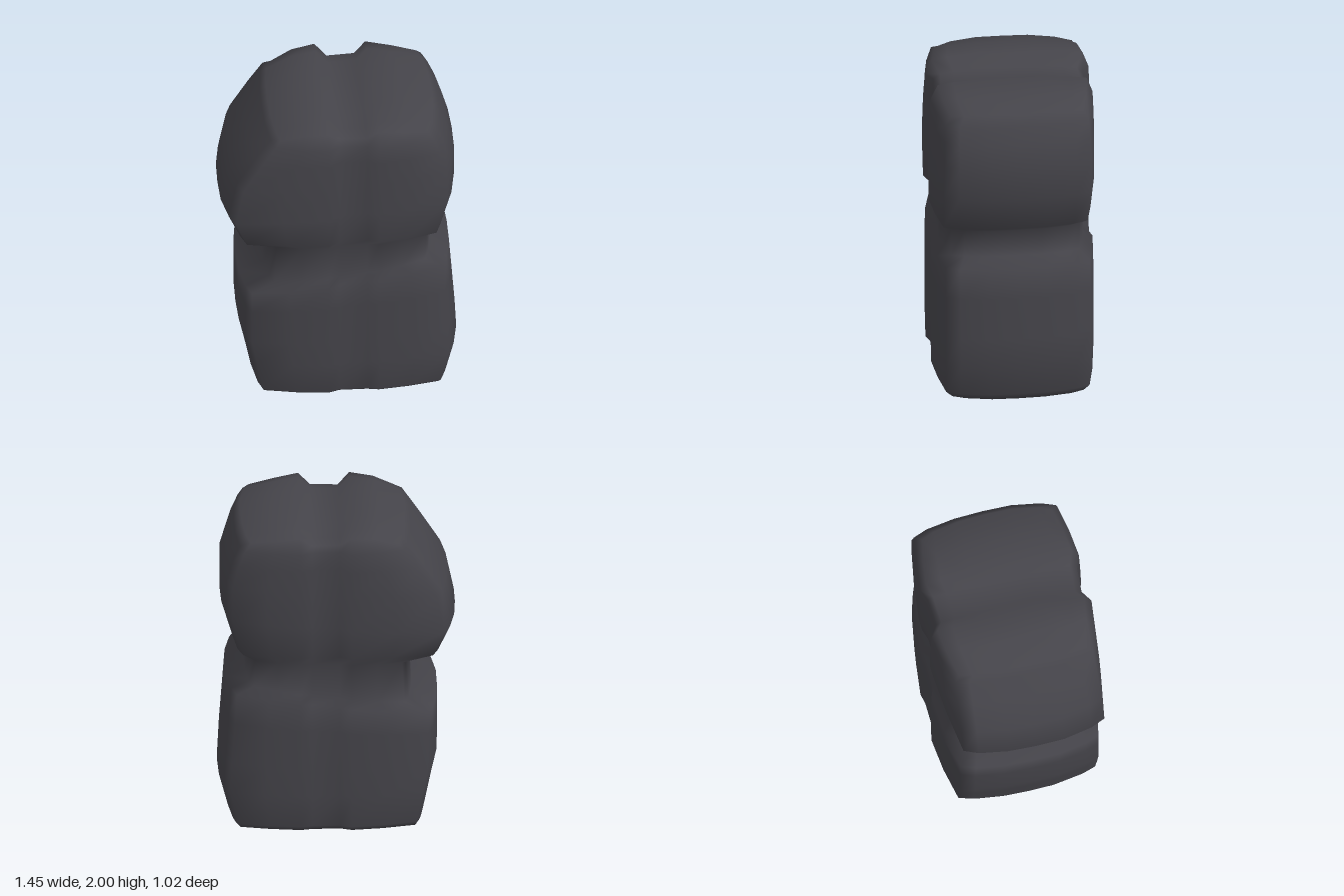
import * as THREE from 'three';
import { mergeVertices } from 'three/addons/utils/BufferGeometryUtils.js';

// Levels from bottom to top:
// [height at -x, height at +x, left edge, right edge, front z, back z, groove depth]
const ROWS = [
  [0.00, 0.00, -0.53, 0.65, 0.45, -0.46, 0.5],
  [0.04, 0.04, -0.54, 0.665, 0.495, -0.50, 0.5],
  [0.24, 0.25, -0.58, 0.72, 0.50, -0.505, 0.5],
  [0.40, 0.45, -0.615, 0.71, 0.50, -0.505, 0.5],
  [0.63, 0.72, -0.615, 0.69, 0.50, -0.505, 0.5],
  [0.77, 0.92, -0.615, 0.675, 0.50, -0.50, 0.5],
  [0.82, 0.95, -0.46, 0.56, 0.45, -0.44, 0.4],
  [1.09, 1.12, -0.44, 0.55, 0.45, -0.44, 0.5],
  [1.16, 1.18, -0.65, 0.635, 0.51, -0.49, 0.8],
  [1.32, 1.42, -0.725, 0.705, 0.515, -0.51, 1],
  [1.56, 1.64, -0.675, 0.705, 0.51, -0.51, 1],
  [1.75, 1.78, -0.55, 0.665, 0.505, -0.505, 1],
  [1.88, 1.88, -0.455, 0.62, 0.50, -0.50, 1],
  [1.93, 1.95, -0.42, 0.58, 0.455, -0.465, 1],
];
// Columns across the width: depth factor, and height of the top surface
const DEPTH = [0.86, 0.95, 1, 0.91, 0.93, 0.99, 0.95, 0.88];
const TOP = [1.93, 1.985, 2.0, 1.937, 1.937, 2.0, 1.975, 1.95];
// Slices through the depth: position, and how far the sides bulge
const SLICE = [-1, -0.8, -0.4, 0, 0.4, 0.8, 1];
const BULGE = [0.9, 0.95, 0.99, 1, 0.995, 0.95, 0.9];
const CROWN = [0.025, 0.012, 0, 0, 0, 0.01, 0.025];

function boulderPoint(i, j, k) {
  const [yL, yR, left, right, front, back, groove] = ROWS[j];
  const l = left * BULGE[k], r = right * BULGE[k];
  const lerp = THREE.MathUtils.lerp;
  const x = [l, lerp(l, -0.09, 0.5), -0.09, -0.02, 0.15, 0.22, lerp(0.22, r, 0.5), r][i];
  // the two middle columns form the vertical groove
  const depth = i === 3 || i === 4 ? lerp(0.99, DEPTH[i], groove) : DEPTH[i];
  const w = SLICE[k];
  const z = Math.abs(w) * (w > 0 ? front : back) * depth;
  const y = j === ROWS.length - 1
    ? TOP[i] - CROWN[k]
    : lerp(yL, yR, (x - left) / (right - left));
  return [x, y, z];
}

export function createModel() {
  const group = new THREE.Group();
  group.name = 'rockPillar';
  const stone = new THREE.MeshStandardMaterial({ color: 0x45444a });
  stone.name = 'dark stone';

  // Subdivided box whose grid points are moved onto the rock's sections
  const nx = DEPTH.length - 1, ny = ROWS.length - 1, nz = SLICE.length - 1;
  let geometry = new THREE.BoxGeometry(nx, ny, nz, nx, ny, nz);
  const p = geometry.attributes.position;
  for (let n = 0; n < p.count; n++) {
    const i = Math.round(p.getX(n) + nx / 2);
    const j = Math.round(p.getY(n) + ny / 2);
    const k = Math.round(p.getZ(n) + nz / 2);
    p.setXYZ(n, ...boulderPoint(i, j, k));
  }
  // Weld the faces so the shading runs smoothly round the edges
  geometry.deleteAttribute('uv');
  geometry.deleteAttribute('normal');
  geometry.clearGroups();
  geometry = mergeVertices(geometry, 1e-4);
  geometry.computeVertexNormals();

  const rock = new THREE.Mesh(geometry, stone);
  rock.name = 'rock';
  group.add(rock);
  return group;
}
